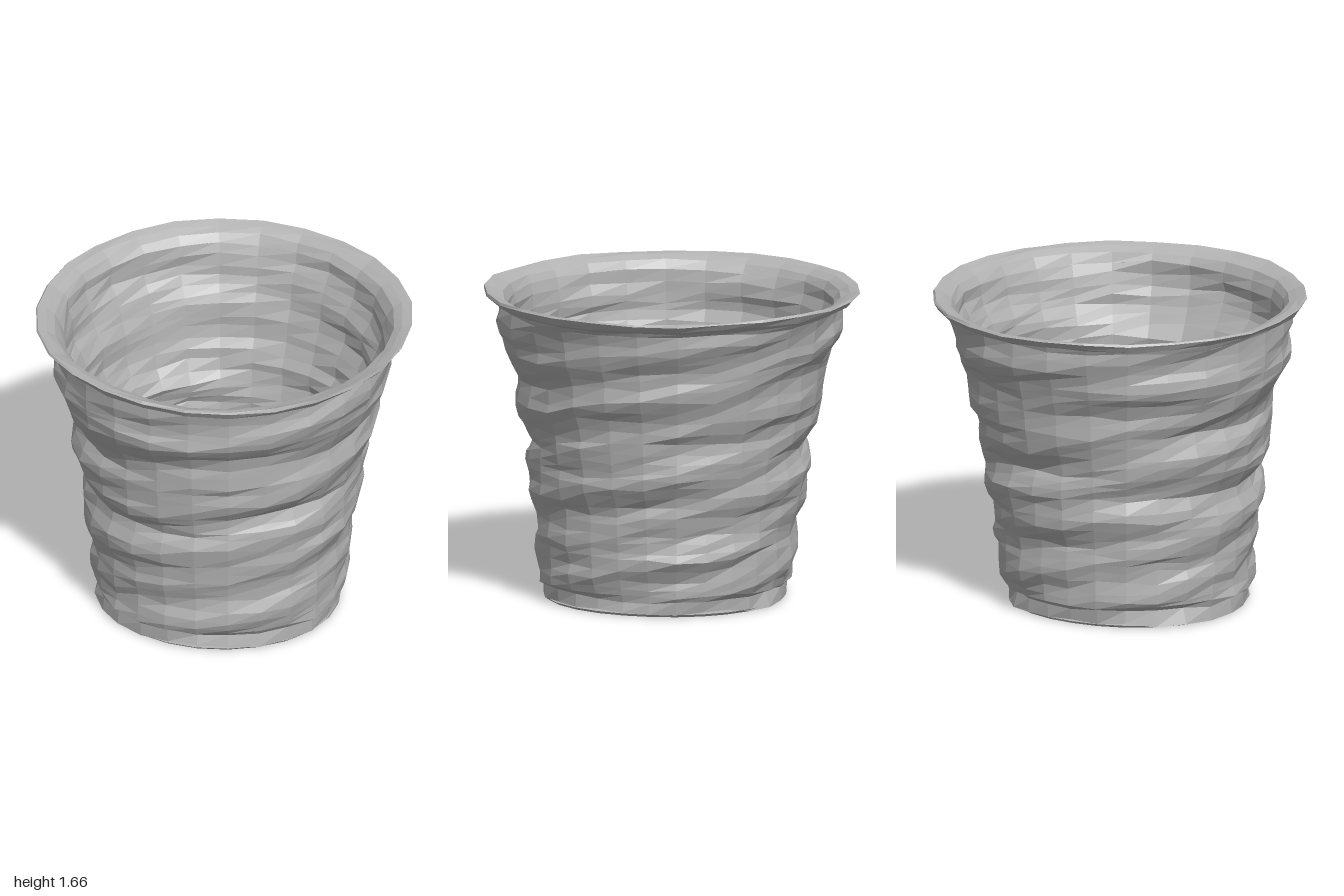
import * as THREE from 'three';

const SIDES = 26;

// Outer wall rings: height, then reach to -x, +x, -z, +z (the cup is a little crooked)
const WALL = [
  [0.02, 0.69, 0.59, 0.60, 0.68], [0.09, 0.68, 0.59, 0.60, 0.67],
  [0.115, 0.71, 0.61, 0.63, 0.70], [0.20, 0.71, 0.62, 0.65, 0.72],
  [0.32, 0.71, 0.66, 0.66, 0.71], [0.45, 0.74, 0.65, 0.66, 0.72],
  [0.60, 0.76, 0.67, 0.72, 0.76], [0.72, 0.72, 0.72, 0.73, 0.77],
  [0.85, 0.80, 0.75, 0.71, 0.74], [0.96, 0.81, 0.74, 0.76, 0.80],
  [1.08, 0.79, 0.78, 0.80, 0.83], [1.20, 0.84, 0.83, 0.80, 0.81],
  [1.27, 0.88, 0.83, 0.82, 0.84], [1.36, 0.91, 0.84, 0.86, 0.90],
  [1.46, 0.89, 0.88, 0.90, 0.92], [1.58, 0.91, 0.91, 0.91, 0.92],
];

// Repeatable noise in -1..1
function noise(a, b) {
  const s = Math.sin(a * 12.99 + b * 78.23) * 43758.55;
  return 2 * (s - Math.floor(s)) - 1;
}

// Insert in-between rings so the wall breaks into small facets
function refine(rings, step) {
  const out = [rings[0]];
  for (let i = 1; i < rings.length; i++) {
    const a = rings[i - 1], b = rings[i];
    const n = Math.max(1, Math.round(Math.abs(b[0] - a[0]) / step));
    for (let k = 1; k <= n; k++) out.push(a.map((v, c) => v + (b[c] - v) * k / n));
  }
  return out;
}

// Point on a ring, with a gentle spiral ripple and hand-made unevenness
function ringPoint(ring, j, rough) {
  const [y, left, right, back, front] = ring;
  const side = j % SIDES;
  const a = side / SIDES * Math.PI * 2;
  const s = Math.sin(a), c = Math.cos(a);
  const key = Math.round(y * 200);
  const ripple = 0.010 * Math.sin(27 * y - 4 * a) + 0.006 * noise(key, side);
  const r = (s < 0 ? left : right) * s * s + (c < 0 ? back : front) * c * c + ripple * rough;
  return [r * s, y + 0.012 * rough * noise(side, key + 7), r * c];
}

// Flat-faceted skin through a list of rings
function skin(name, rings, rough, material) {
  const pos = [];
  for (let i = 0; i + 1 < rings.length; i++) {
    for (let j = 0; j < SIDES; j++) {
      const p = ringPoint(rings[i], j, rough), q = ringPoint(rings[i], j + 1, rough);
      const t = ringPoint(rings[i + 1], j + 1, rough), u = ringPoint(rings[i + 1], j, rough);
      pos.push(...p, ...q, ...t, ...p, ...t, ...u);
    }
  }
  const g = new THREE.BufferGeometry();
  g.setAttribute('position', new THREE.Float32BufferAttribute(pos, 3));
  g.computeVertexNormals();
  const mesh = new THREE.Mesh(g, material);
  mesh.name = name;
  return mesh;
}

const even = (y, r) => [y, r, r, r, r];
const shifted = (y, r) => [y, r + 0.05, r - 0.05, r - 0.04, r + 0.04];
const inset = ([y, ...reach], t) => [y, ...reach.map(v => v - t)];

export function createModel() {
  const grey = new THREE.MeshStandardMaterial({ color: 0xb2b2b2, flatShading: true, side: THREE.DoubleSide });
  grey.name = 'clay grey';

  const cup = new THREE.Group();
  cup.name = 'cup';

  const outer = refine(WALL, 0.05);
  const inner = refine(WALL.slice(2).reverse().map(r => inset(r, 0.045)), 0.05);
  const top = outer[outer.length - 1];
  const footInside = inner[inner.length - 1];

  // Wall, outside and inside
  cup.add(skin('outerWall', outer, 1, grey));
  cup.add(skin('innerWall', inner, 1, grey));

  // Flared lip joining both walls
  cup.add(skin('lip', [top, even(1.60, 0.925), even(1.615, 0.965), even(1.65, 0.992),
    even(1.66, 0.985), even(1.648, 0.94), even(1.625, 0.895), inner[0]], 0.6, grey));

  // Inside floor with a raised middle
  cup.add(skin('floor', [footInside, shifted(0.10, 0.585), shifted(0.06, 0.575),
    shifted(0.06, 0.44), shifted(0.085, 0.39), shifted(0.085, 0)], 0, grey));

  // Underside with a hollow middle
  cup.add(skin('underside', [shifted(0.045, 0), shifted(0.045, 0.40), shifted(0.012, 0.44),
    shifted(0.006, 0.625), WALL[0]], 0, grey));
  return cup;
}
